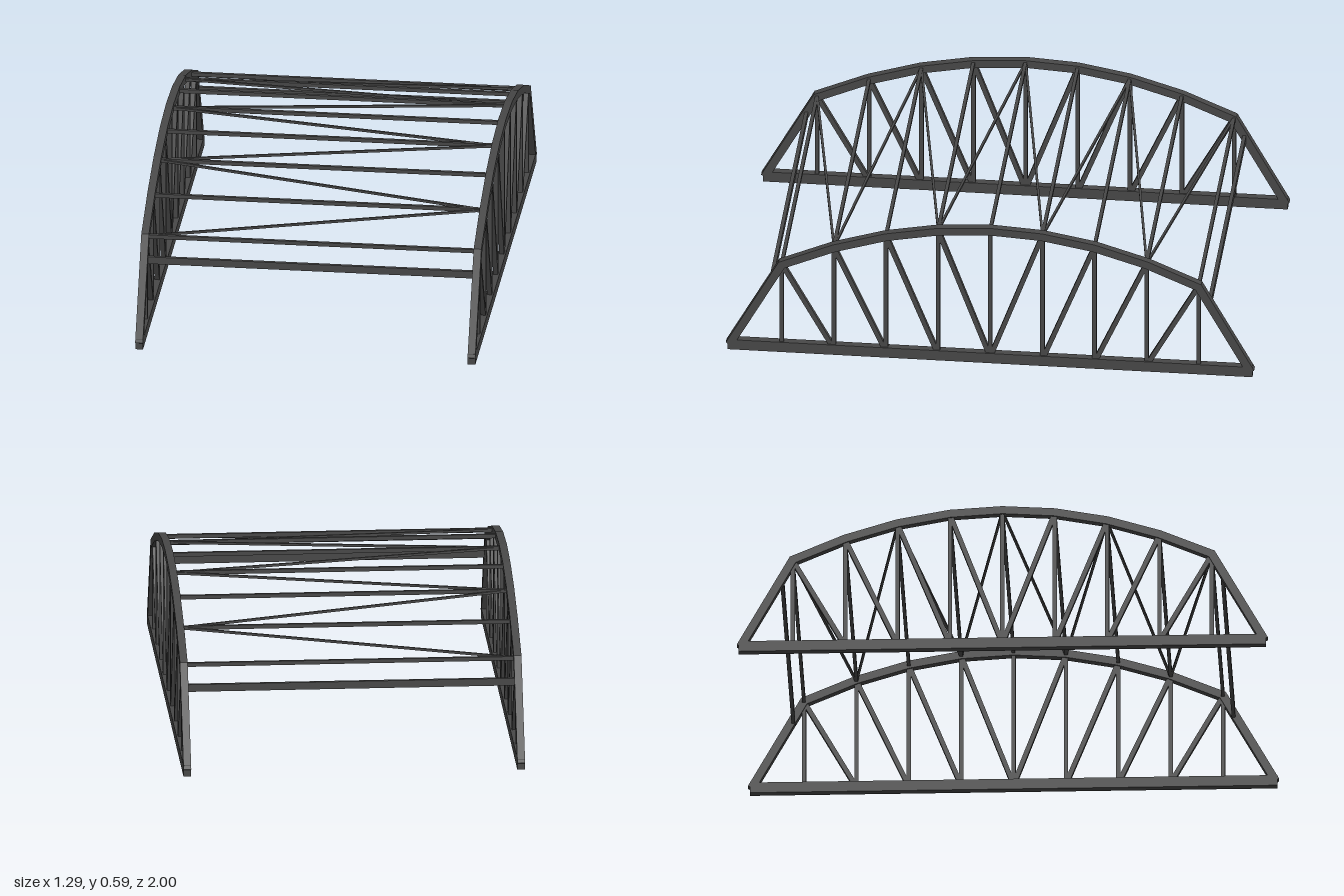
import * as THREE from 'three';

const PANEL = 0.197;      // spacing of the truss nodes along z
const SIDE_X = 0.629;     // centre plane of each side truss
const CHORD = 0.029;      // chord thickness
const BASE_Y = 0.021;     // centre of the bottom chord

// Height of the top chord node i (-4..4) on a parabola
const topY = (i) => 0.571 - 0.0121 * i * i;

export function createModel() {
  const steel = new THREE.MeshStandardMaterial({ color: 0x484848 });
  steel.name = 'dark steel';
  const model = new THREE.Group();
  model.name = 'trussBridge';

  // Straight rectangular bar from a to b: w across, h in the bar's upright direction
  function bar(parent, name, a, b, w, h) {
    const from = new THREE.Vector3(...a), to = new THREE.Vector3(...b);
    const mesh = new THREE.Mesh(new THREE.BoxGeometry(w, h, from.distanceTo(to)), steel);
    mesh.name = name;
    mesh.position.copy(from).add(to).multiplyScalar(0.5);
    mesh.lookAt(to);
    parent.add(mesh);
  }

  // Mitred outline of a polyline, offset by half the thickness on each side
  function ribbon(points, half) {
    const outer = [], inner = [];
    points.forEach((p, i) => {
      const prev = points[Math.max(i - 1, 0)], next = points[Math.min(i + 1, points.length - 1)];
      const d1 = p.clone().sub(prev).normalize(), d2 = next.clone().sub(p).normalize();
      const dir = d1.clone().add(d2).normalize();
      const normal = new THREE.Vector2(-dir.y, dir.x);
      const ref = d1.lengthSq() > 0 ? d1 : d2;
      const offset = half / dir.dot(ref);
      outer.push(p.clone().addScaledVector(normal, offset));
      inner.unshift(p.clone().addScaledVector(normal, -offset));
    });
    return new THREE.Shape([...outer, ...inner]);
  }

  // End posts and arched top chord as one mitred band
  const nodes = [new THREE.Vector2(-5 * PANEL, BASE_Y)];
  for (let i = -4; i <= 4; i++) nodes.push(new THREE.Vector2(i * PANEL, topY(i)));
  nodes.push(new THREE.Vector2(5 * PANEL, BASE_Y));
  const archGeometry = new THREE.ExtrudeGeometry(ribbon(nodes, 0.0155), { depth: CHORD, bevelEnabled: false });
  archGeometry.translate(0, 0, -CHORD / 2);
  archGeometry.rotateY(-Math.PI / 2);

  // Side trusses
  for (const side of [-1, 1]) {
    const truss = new THREE.Group();
    truss.name = side > 0 ? 'leftTruss' : 'rightTruss';
    truss.position.x = side * SIDE_X;
    model.add(truss);

    const arch = new THREE.Mesh(archGeometry, steel);
    arch.name = 'topChord';
    truss.add(arch);
    bar(truss, 'bottomChord', [0, BASE_Y, -0.992], [0, BASE_Y, 0.992], CHORD, 0.042);

    for (let i = -4; i <= 4; i++) {
      const z = i * PANEL;
      bar(truss, 'verticalPost', [0, BASE_Y, z], [0, topY(i), z], 0.018, 0.016);
      // Diagonals lean down towards the middle of the span
      if (i !== 0) {
        bar(truss, 'diagonal', [0, topY(i), z], [0, BASE_Y, z - Math.sign(i) * PANEL], 0.018, 0.018);
      }
    }
  }

  // Cross struts between the top chords, with zigzag wind bracing
  const overhead = new THREE.Group();
  overhead.name = 'overheadBracing';
  model.add(overhead);
  const zigzag = (i) => [i % 2 === 0 ? -SIDE_X : SIDE_X, topY(i), i * PANEL];
  for (let i = -4; i <= 4; i++) {
    bar(overhead, 'crossStrut', [-SIDE_X, topY(i), i * PANEL], [SIDE_X, topY(i), i * PANEL], 0.013, 0.015);
    if (i < 4) bar(overhead, 'windBrace', zigzag(i), zigzag(i + 1), 0.009, 0.009);
  }

  // Portal beams between the end posts
  for (const z of [-0.828, 0.828]) {
    bar(model, 'portalBeam', [-SIDE_X, 0.298, z], [SIDE_X, 0.298, z], 0.014, 0.028);
  }
  return model;
}
